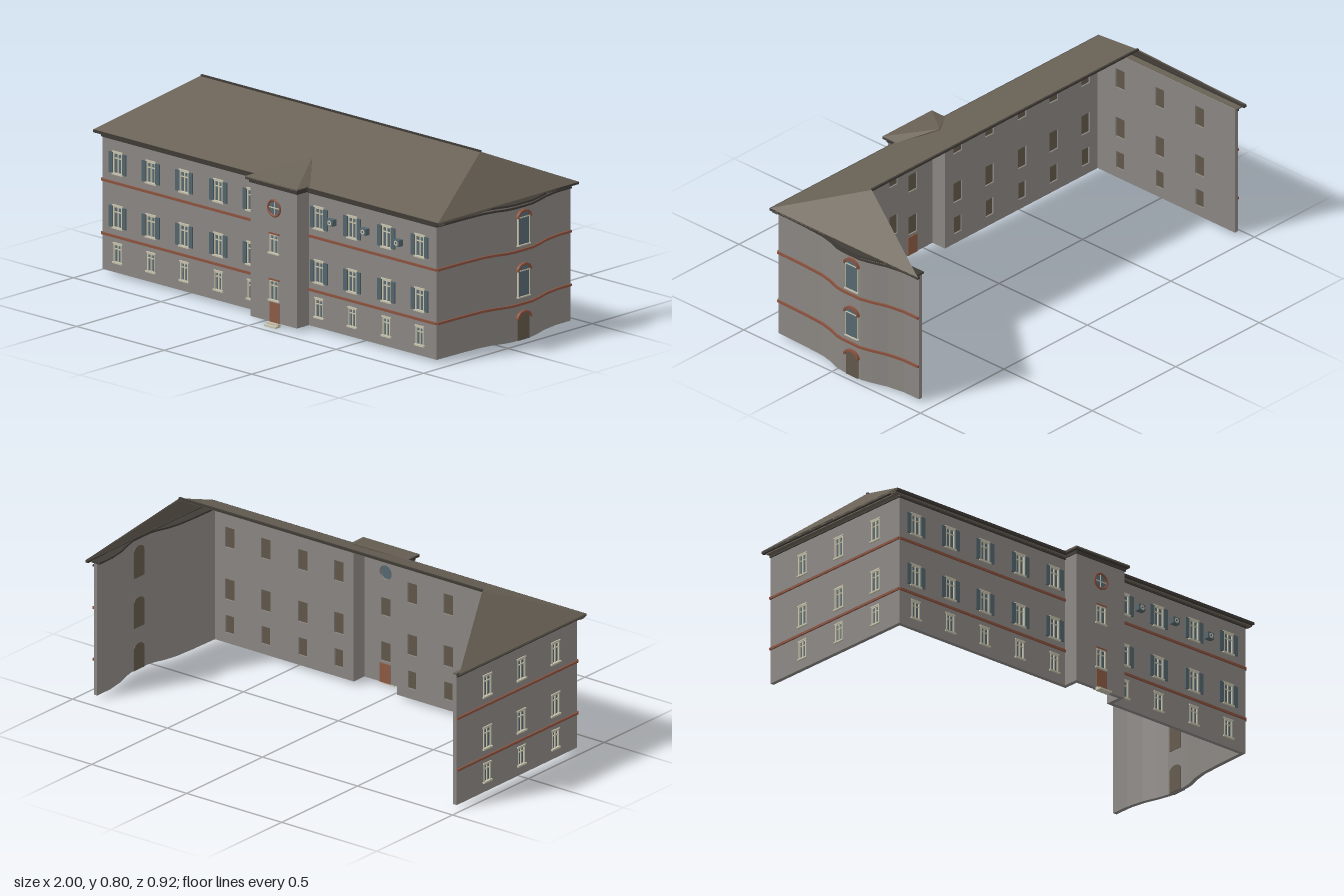
import * as THREE from 'three';
import { ConvexGeometry } from 'three/addons/geometries/ConvexGeometry.js';

const mat = (name, color) => new THREE.MeshStandardMaterial({ name, color, side: THREE.DoubleSide });

export function createModel() {
  const wallMat = mat('grey plaster', 0x8a8682), roofMat = mat('brown roof', 0x696155);
  const brick = mat('red brick', 0x8a523f), glass = mat('blue grey glass', 0x566870);
  const cream = mat('cream trim', 0xc6c2ac), shutterMat = mat('slate shutter', 0x53646b);
  const dark = mat('dark gutter', 0x3f3b36), brown = mat('dark wood', 0x62574a);
  const doorMat = mat('door wood', 0x8c5a44);
  const model = new THREE.Group();
  model.name = 'building';

  const add = (parent, name, geo, material, x = 0, y = 0, z = 0) => {
    const m = new THREE.Mesh(geo, material);
    m.name = name;
    m.position.set(x, y, z);
    parent.add(m);
    return m;
  };
  const box = (parent, name, material, x0, x1, y0, y1, z0, z1) =>
    add(parent, name, new THREE.BoxGeometry(x1 - x0, y1 - y0, z1 - z0), material,
      (x0 + x1) / 2, (y0 + y1) / 2, (z0 + z1) / 2);
  const rect = (x0, x1, y0, y1, Type = THREE.Shape) => new Type([[x0, y0], [x1, y0], [x1, y1], [x0, y1]]
    .map(p => new THREE.Vector2(...p)));
  const extrude = (shape, depth) => new THREE.ExtrudeGeometry(shape, { depth, bevelEnabled: false, curveSegments: 14 });

  const T = 0.018, BASE = 0.015, TOP = 0.6;
  // Wall panel with its outer face on local z = 0
  const wallPanel = (parent, name, x0, x1, holes) => {
    const s = rect(x0, x1, BASE, TOP);
    s.holes.push(...holes);
    add(parent, name, extrude(s, T), wallMat, 0, 0, -T);
  };

  // Framed window; (x, y) is the middle of its lower edge
  const addWindow = (parent, x, y, w, h, shutters = false, brickHead = false) => {
    const g = new THREE.Group();
    g.name = 'window';
    g.position.set(x, y, 0);
    parent.add(g);
    const f = 0.005, a = w / 2;
    box(g, 'pane', glass, -a, a, 0, h, -0.007, -0.004);
    box(g, 'innerPanel', brown, -a, a, 0, h, -0.011, -0.007);
    for (const s of [-1, 1]) {
      box(g, 'frameSide', cream, s * (a - f / 2) - f / 2, s * (a - f / 2) + f / 2, 0, h, -0.005, 0.003);
      if (shutters) box(g, 'shutter', shutterMat, s * (a + 0.013) - 0.011, s * (a + 0.013) + 0.011, 0, h, 0, 0.006);
    }
    box(g, 'frameTop', cream, -a, a, h - f, h, -0.005, 0.003);
    box(g, 'transom', cream, -a, a, h * 0.7, h * 0.7 + 0.004, -0.005, 0.001);
    box(g, 'mullion', cream, -0.0025, 0.0025, 0, h, -0.005, 0.001);
    box(g, 'sill', cream, -a - 0.006, a + 0.006, -0.005, 0.002, -0.005, 0.008);
    box(g, 'lintel', brickHead ? brick : cream, -a - 0.004, a + 0.004, h, h + 0.006, -0.002, 0.005);
  };

  const floors = [[0.06, 0.044, 0.078], [0.208, 0.05, 0.092], [0.44, 0.05, 0.09]];
  const bands = [0.17, 0.4];
  // Straight facade: wall, windows on three floors and string courses
  const facade = (parent, x0, x1, columns, shutters) => {
    const holes = [];
    for (const x of columns) floors.forEach(([y, w, h], i) => {
      holes.push(rect(x - w / 2, x + w / 2, y, y + h, THREE.Path));
      addWindow(parent, x, y, w, h, shutters && i > 0);
    });
    wallPanel(parent, 'wall', x0, x1, holes);
    for (const y of bands) box(parent, 'brickBand', brick, x0, x1, y - 0.005, y + 0.005, -0.002, 0.007);
    box(parent, 'cornice', dark, x0, x1, 0.584, 0.592, -0.002, 0.006);
  };

  const front = new THREE.Group();
  front.name = 'frontFacade';
  front.position.z = 0.36;
  model.add(front);
  facade(front, -0.97, -0.055, [-0.88, -0.69, -0.5, -0.305, -0.115], true);
  facade(front, 0.21, 0.94, [0.27, 0.46, 0.655, 0.845], true);

  // Small wall units beside the top windows
  [[0.35, 0.487], [0.54, 0.487], [0.73, 0.478]].forEach(([x, y]) => {
    box(front, 'wallUnit', shutterMat, x - 0.017, x + 0.017, y - 0.014, y + 0.014, 0, 0.024);
    add(front, 'unitFace', new THREE.RingGeometry(0.005, 0.011, 16), cream, x, y, 0.025);
  });

  const flatEnd = new THREE.Group();
  flatEnd.name = 'rightEndFacade';
  flatEnd.position.x = -0.97;
  flatEnd.rotation.y = -Math.PI / 2;
  model.add(flatEnd);
  facade(flatEnd, -0.435, 0.36, [-0.235, -0.01, 0.215], false);

  // Curved end wall, extruded from its plan
  const plan = [[0.94, 0.36], [0.944, 0.2], [0.95, 0.1], [0.963, 0.04], [0.981, -0.01], [0.987, -0.05],
    [0.987, -0.15], [0.975, -0.2], [0.953, -0.27], [0.94, -0.35], [0.94, -0.435]];
  const curvedStrip = (name, material, out, inner, y0, y1) => {
    const pts = [...plan.map(([x, z]) => new THREE.Vector2(x + out, -z)),
      ...plan.map(([x, z]) => new THREE.Vector2(x - inner, -z)).reverse()];
    add(model, name, extrude(new THREE.Shape(pts), y1 - y0).rotateX(-Math.PI / 2), material, 0, y0, 0);
  };
  curvedStrip('curvedWall', wallMat, 0, T, BASE, TOP);
  for (const y of bands) curvedStrip('curvedBand', brick, 0.008, 0.002, y - 0.005, y + 0.005);
  curvedStrip('curvedCornice', dark, 0.007, 0.002, 0.584, 0.592);
  curvedStrip('curvedEave', dark, 0.011, 0.03, 0.6, 0.608);

  // Arched openings of the curved end
  const archShape = (w, y0, spring, rise) => {
    const s = new THREE.Shape();
    s.moveTo(-w / 2, y0);
    s.lineTo(w / 2, y0);
    s.lineTo(w / 2, spring);
    s.absellipse(0, spring, w / 2, rise, 0, Math.PI, false);
    s.lineTo(-w / 2, y0);
    return s;
  };
  const arches = new THREE.Group();
  arches.name = 'archedOpenings';
  arches.position.set(0.987, 0, -0.103);
  arches.rotation.y = Math.PI / 2;
  model.add(arches);
  [[BASE, 0.108, true], [0.203, 0.312, false], [0.425, 0.541, false]].forEach(([y0, spring, isDoor]) => {
    add(arches, isDoor ? 'archedDoor' : 'archedPane', extrude(archShape(0.068, y0, spring, 0.024), 0.004), isDoor ? brown : glass);
    add(arches, 'innerPanel', extrude(archShape(0.068, y0, spring, 0.024), 0.003), brown, 0, 0, -T - 0.003);
    const arch = new THREE.Shape();
    arch.absellipse(0, spring, 0.042, 0.033, 0, Math.PI, false);
    arch.absellipse(0, spring, 0.034, 0.024, Math.PI, 0, true);
    add(arches, 'brickArch', extrude(arch, 0.013), brick);
    if (isDoor) return;
    for (const s of [-1, 1]) box(arches, 'frameSide', cream, s * 0.033 - 0.0015, s * 0.033 + 0.0015, y0, spring, 0, 0.007);
    box(arches, 'transom', cream, -0.034, 0.034, spring - 0.002, spring + 0.002, 0, 0.007);
    box(arches, 'sill', cream, -0.038, 0.038, y0 - 0.005, y0, 0, 0.01);
  });

  // Projecting entrance bay
  const bay = new THREE.Group();
  bay.name = 'entranceBay';
  bay.position.z = 0.43;
  model.add(bay);
  const cx = 0.08;
  const round = new THREE.Path();
  round.absarc(cx, 0.505, 0.032, 0, Math.PI * 2, false);
  const bayWindows = [[0.11, 0.085], [0.312, 0.08]];
  wallPanel(bay, 'bayFront', -0.055, 0.21,
    [round, ...bayWindows.map(([y, h]) => rect(cx - 0.025, cx + 0.025, y, y + h, THREE.Path))]);
  for (const [y, h] of bayWindows) addWindow(bay, cx, y, 0.05, h, false, true);
  for (const x of [-0.055, 0.21 - T]) box(bay, 'baySide', wallMat, x, x + T, BASE, TOP, -0.088, -T);
  box(bay, 'bayCornice', dark, -0.06, 0.215, 0.59, 0.602, -0.07, 0.005);
  add(bay, 'roundPane', new THREE.CylinderGeometry(0.032, 0.032, 0.004, 28).rotateX(Math.PI / 2), glass, cx, 0.505, -0.005);
  add(bay, 'roundFrame', new THREE.TorusGeometry(0.034, 0.005, 8, 28), brick, cx, 0.505, 0.001);
  box(bay, 'roundMullion', cream, cx - 0.002, cx + 0.002, 0.474, 0.536, -0.004, 0);
  box(bay, 'roundTransom', cream, cx - 0.031, cx + 0.031, 0.503, 0.507, -0.004, 0);
  box(bay, 'frontDoor', doorMat, cx - 0.025, cx + 0.031, BASE, 0.1, 0, 0.004);
  box(bay, 'doorBack', doorMat, cx - 0.025, cx + 0.031, BASE, 0.1, -T - 0.003, -T);
  box(bay, 'lowerStep', cream, cx - 0.03, cx + 0.035, 0, 0.007, 0, 0.03);
  box(bay, 'upperStep', cream, cx - 0.03, cx + 0.035, 0.007, BASE, 0, 0.016);

  // Roof planes as thin slabs
  const slab = (name, pts, t = 0.008) => add(model, name, new ConvexGeometry(
    pts.flatMap(([x, y, z]) => [new THREE.Vector3(x, y, z), new THREE.Vector3(x, y - t, z)])), roofMat);
  const E = 0.612, R = 0.796;
  const fl = [-1, E, 0.38], fr = [0.968, E, 0.38], rl = [-0.79, R, -0.04], rr = [0.805, R, -0.04];
  slab('frontRoof', [fl, fr, rr, rl]);
  slab('rightHipRoof', [fl, rl, [-1, E, -0.455]]);
  slab('leftHipRoof', [fr, rr, [0.968, E, -0.455]]);
  box(model, 'ridgeCap', dark, -0.79, 0.805, 0.792, 0.801, -0.045, -0.036);

  // Eaves and gutters
  for (const [x0, x1] of [[-1, -0.055], [0.21, 0.968]]) {
    box(model, 'frontGutter', dark, x0, x1, 0.6, 0.611, 0.368, 0.384);
    box(model, 'frontSoffit', roofMat, x0, x1, 0.596, 0.602, 0.342, 0.37);
  }
  box(model, 'endGutter', dark, -1, -0.985, 0.6, 0.611, -0.455, 0.384);
  box(model, 'endSoffit', roofMat, -0.99, -0.955, 0.596, 0.602, -0.44, 0.37);
  box(model, 'endGutter', dark, 0.955, 0.968, 0.602, 0.611, -0.455, 0.384);

  // Hipped roof of the bay
  const apex = [0.108, 0.685, 0.235], a = [-0.07, 0.616, 0.447], b = [0.225, 0.616, 0.447];
  slab('bayFrontRoof', [a, b, apex], 0.006);
  slab('bayRoofSide', [a, apex, [-0.07, 0.616, 0.368]], 0.006);
  slab('bayRoofSide', [b, apex, [0.225, 0.616, 0.368]], 0.006);
  box(model, 'bayEave', dark, -0.07, 0.225, 0.604, 0.612, 0.365, 0.447);
  return model;
}
